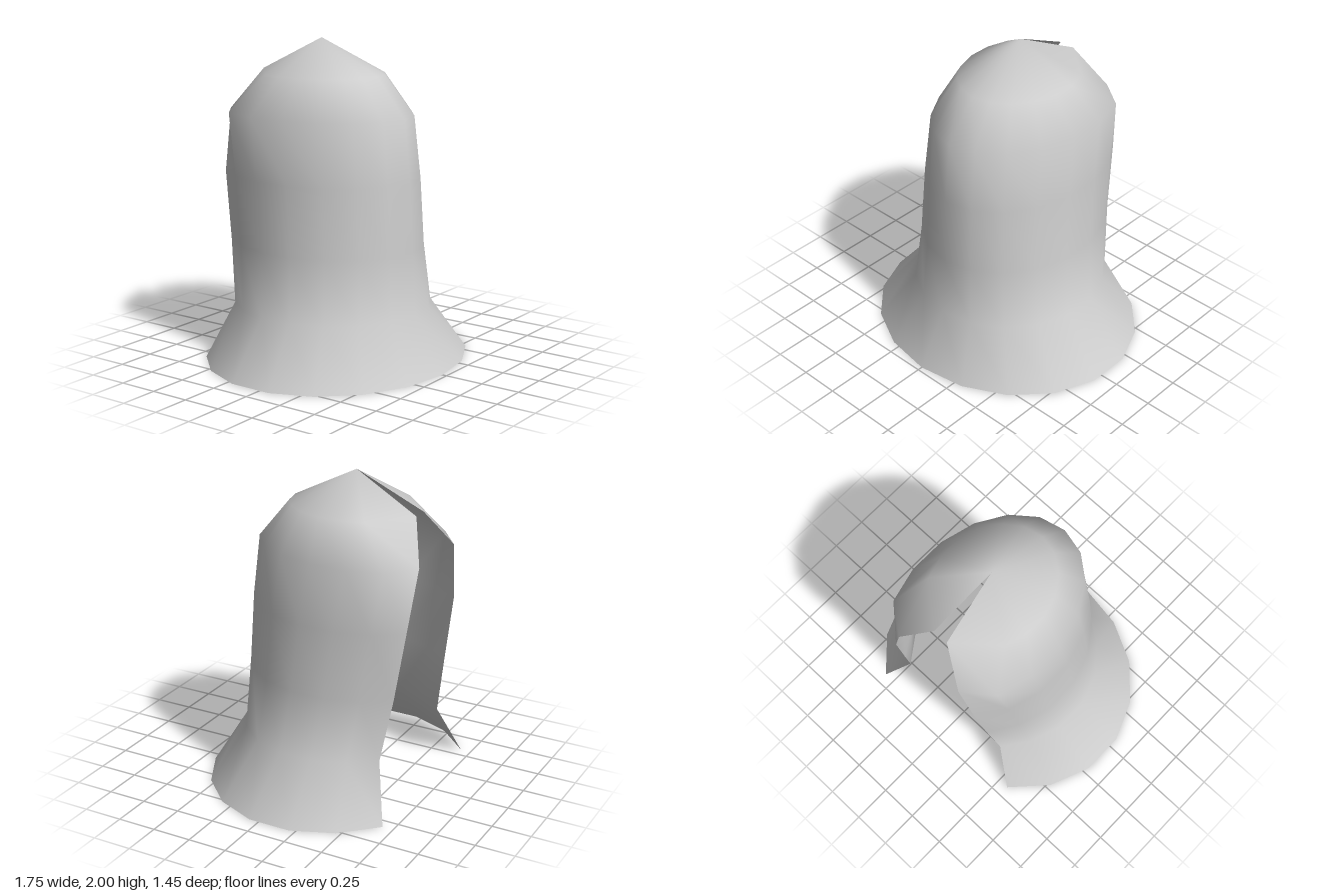
import * as THREE from 'three';

const STEPS = 14; // segments of 20 degrees, leaving the back open

// Cross-sections from crown to hem: height, half width, centre z, half depth,
// and the x, z of the edge beside the back slit
const rings = [
  { y: 1.785, rx: 0.345, cz: -0.19, rz: 0.42, edge: [0.05, -0.61] },
  { y: 1.545, rx: 0.487, cz: -0.25, rz: 0.68, edge: [0.24, -0.725] },
  { y: 1.16, rx: 0.515, cz: -0.19, rz: 0.662, edge: [0.333, -0.697] },
  { y: 0.73, rx: 0.543, cz: -0.145, rz: 0.64, edge: [0.36, -0.635] },
  { y: 0.34, rx: 0.608, cz: -0.1, rz: 0.62, edge: [0.41, -0.572] },
  { y: 0, rx: 0.89, cz: -0.073, rz: 0.793, edge: [0.572, -0.68] },
];

function hoodGeometry() {
  const positions = [0, 2, -0.19]; // pointed crown
  const index = [];
  for (const { y, rx, cz, rz, edge } of rings) {
    for (let i = 0; i <= STEPS; i++) {
      const a = THREE.MathUtils.degToRad((i - STEPS / 2) * 20);
      if (i === 0) positions.push(-edge[0], y, edge[1]);
      else if (i === STEPS) positions.push(edge[0], y, edge[1]);
      else positions.push(rx * Math.sin(a), y, cz + rz * Math.cos(a));
    }
  }
  const at = (r, i) => 1 + r * (STEPS + 1) + i;
  for (let i = 0; i < STEPS; i++) {
    index.push(0, at(0, i), at(0, i + 1));
    for (let r = 0; r < rings.length - 1; r++) {
      index.push(at(r, i), at(r + 1, i), at(r + 1, i + 1));
      index.push(at(r, i), at(r + 1, i + 1), at(r, i + 1));
    }
  }
  const geometry = new THREE.BufferGeometry();
  geometry.setAttribute('position', new THREE.Float32BufferAttribute(positions, 3));
  geometry.setIndex(index);
  geometry.computeVertexNormals();
  return geometry;
}

export function createModel() {
  const group = new THREE.Group();
  group.name = 'openBackHood';
  const cloth = new THREE.MeshStandardMaterial({ color: 0xcccccc, side: THREE.DoubleSide });
  cloth.name = 'light grey cloth';

  // One thin sheet: crown, sides and flared hem, slit at the back
  const hood = new THREE.Mesh(hoodGeometry(), cloth);
  hood.name = 'hood';
  group.add(hood);
  return group;
}
